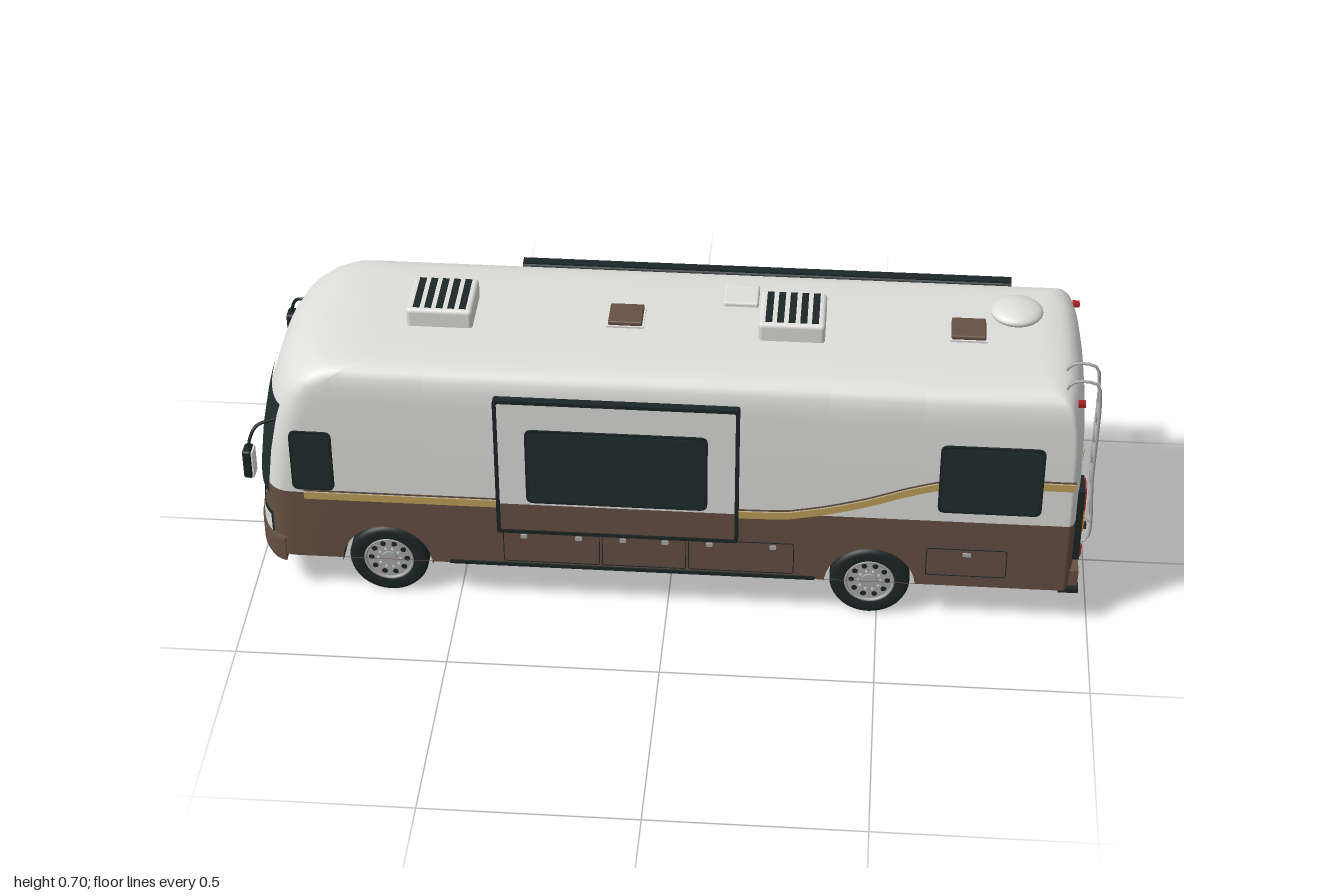
import * as THREE from 'three';
import { RoundedBoxGeometry } from 'three/addons/geometries/RoundedBoxGeometry.js';

const mat = (name, color, side = THREE.FrontSide) => {
  const m = new THREE.MeshStandardMaterial({ color, side });
  m.name = name;
  return m;
};

export function createModel() {
  const root = new THREE.Group();
  const white = mat('white paint', 0xdededb), brown = mat('brown paint', 0x665043, THREE.DoubleSide);
  const gold = mat('gold stripe', 0xbf9f58), glass = mat('dark glass', 0x1f2d2d);
  const black = mat('black trim', 0x1c2626, THREE.DoubleSide), chrome = mat('chrome', 0xa9a9a9);
  const red = mat('red lamp', 0xa81e20), orange = mat('orange lamp', 0xd47f1c);

  const add = (name, geo, m, x = 0, y = 0, z = 0, parent = root) => {
    const mesh = new THREE.Mesh(geo, m);
    mesh.name = name;
    mesh.position.set(x, y, z);
    parent.add(mesh);
    return mesh;
  };
  // box given by its limits
  const box = (name, m, x0, x1, y0, y1, z0, z1) => add(name,
    new THREE.BoxGeometry(x1 - x0, y1 - y0, z1 - z0), m, (x0 + x1) / 2, (y0 + y1) / 2, (z0 + z1) / 2);
  // upright plate on either side of the body
  const plate = (name, shape, m, side, z0 = 0.253, depth = 0.008) => add(name,
    new THREE.ExtrudeGeometry(shape, { depth, bevelEnabled: false, curveSegments: 5 }), m, 0, 0, side > 0 ? z0 : -z0 - depth);
  const roundRect = (x0, x1, y0, y1, r, s = new THREE.Shape()) => {
    s.moveTo(x0 + r, y0);
    s.lineTo(x1 - r, y0).quadraticCurveTo(x1, y0, x1, y0 + r);
    s.lineTo(x1, y1 - r).quadraticCurveTo(x1, y1, x1 - r, y1);
    s.lineTo(x0 + r, y1).quadraticCurveTo(x0, y1, x0, y1 - r);
    s.lineTo(x0, y0 + r).quadraticCurveTo(x0, y0, x0 + r, y0);
    return s;
  };
  const frame = (x0, x1, y0, y1, r, w) => {
    const s = roundRect(x0, x1, y0, y1, r);
    s.holes.push(roundRect(x0 + w, x1 - w, y0 + w, y1 - w, r * 0.7, new THREE.Path()));
    return s;
  };
  const surface = (pos, idx) => {
    const g = new THREE.BufferGeometry();
    g.setAttribute('position', new THREE.Float32BufferAttribute(pos, 3));
    g.setIndex(idx);
    g.computeVertexNormals();
    return g;
  };

  // Body plan: rounded nose, straight sides, tighter rounded tail
  const axles = [-0.67, 0.48], archR = 0.108, axleY = 0.095, floorY = 0.105, beltY = 0.295;
  const noseD = 0.1, tailD = 0.03, power = 2 / 2.6;
  const arc = (t, end, d, hw, dir) => [
    end + dir * d * (1 - Math.abs(Math.cos(t)) ** power), hw * Math.sign(Math.sin(t)) * Math.abs(Math.sin(t)) ** power];
  const sideXs = [];
  axles.forEach((c) => {
    for (let i = 0; i <= 20; i++) sideXs.push(c - archR * Math.cos(i * Math.PI / 20));
  });
  const outline = (xf, xb, hw) => {
    const p = [], n = 24;
    for (let i = 0; i <= n; i++) p.push(arc((i / n - 0.5) * Math.PI, xf, noseD, hw, 1));
    const xs = sideXs.map((x) => Math.max(xf + noseD, Math.min(xb - tailD, x)));
    xs.forEach((x) => p.push([x, hw]));
    for (let i = 0; i <= n; i++) p.push(arc((0.5 - i / n) * Math.PI, xb, tailD, hw, -1));
    xs.reverse().forEach((x) => p.push([x, -hw]));
    return p;
  };
  // rings run upwards; the last one is capped
  const loft = (rings, capY) => {
    const n = rings[0].length, pos = rings.flat(2), idx = [];
    for (let i = 0; i < rings.length - 1; i++) for (let j = 0; j < n; j++) {
      const a = i * n + j, b = i * n + (j + 1) % n;
      idx.push(a, b, b + n, a, b + n, a + n);
    }
    if (capY !== undefined) {
      const last = (rings.length - 1) * n;
      pos.push(0, capY, 0);
      for (let j = 0; j < n; j++) idx.push(rings.length * n, last + j, last + (j + 1) % n);
    }
    return surface(pos, idx);
  };
  const ring = (y, xf, xb, hw) => outline(xf, xb, hw).map(([x, z]) => [x, y, z]);

  // Upper shell, each row: height, nose x, tail x, half width
  const profile = [[0.295, -0.985, 0.965, 0.257], [0.4, -0.972, 0.965, 0.257], [0.5, -0.952, 0.963, 0.255],
    [0.56, -0.932, 0.958, 0.253], [0.595, -0.91, 0.951, 0.25], [0.618, -0.882, 0.943, 0.245],
    [0.633, -0.855, 0.932, 0.236], [0.643, -0.825, 0.917, 0.222], [0.648, -0.79, 0.9, 0.195],
    [0.652, -0.75, 0.88, 0.15], [0.655, -0.7, 0.84, 0.08]];
  add('upperBody', loft(profile.map((r) => ring(...r)), 0.656), white);

  // Lower shell with wheel arches cut in its bottom edge
  const base = outline(-0.985, 0.965, 0.257);
  const lowEdge = (x) => Math.max(floorY, ...axles.map((c) => axleY + Math.sqrt(Math.max(0, archR ** 2 - (x - c) ** 2))));
  add('lowerBody', loft([base.map(([x, z]) => [x, lowEdge(x), z]), base.map(([x, z]) => [x, beltY, z])]), brown);
  const floor = new THREE.Shape(base.map(([x, z]) => new THREE.Vector2(x, z)));
  axles.forEach((c) => [-1, 1].forEach((s) => floor.holes.push(
    roundRect(c - archR, c + archR, s > 0 ? 0.13 : -0.255, s > 0 ? 0.255 : -0.13, 0.001, new THREE.Path()))));
  add('floor', new THREE.ShapeGeometry(floor).rotateX(Math.PI / 2), brown, 0, floorY, 0);
  [-0.2, -0.07, 0.07, 0.2].forEach((z) => {
    for (let x = -0.5; x < 0.32; x += 0.12) box('floorRib', black, x, x + 0.07, 0.099, 0.106, z - 0.005, z + 0.005);
  });

  // Curved patches lying on the nose or tail
  const at = (y) => {
    if (y <= beltY) return profile[0];
    const i = profile.findIndex((r) => r[0] >= y), a = profile[i - 1], b = profile[i];
    return a.map((v, k) => v + (b[k] - v) * (y - a[0]) / (b[0] - a[0]));
  };
  const patch = (name, m, y0, y1, t0, t1, tail = false, off = 0.005) => {
    const pos = [], idx = [], nu = 24, nv = 12;
    for (let i = 0; i <= nv; i++) for (let j = 0; j <= nu; j++) {
      const y = y0 + (y1 - y0) * i / nv, t = t0 + (t1 - t0) * j / nu, [, xf, xb, hw] = at(y);
      const [x, z] = tail ? arc(-t, xb + off, tailD, hw + off, -1) : arc(t, xf - off, noseD, hw + off, 1);
      pos.push(x, y, z);
      const a = i * (nu + 1) + j;
      if (i < nv && j < nu) idx.push(a, a + 1, a + nu + 2, a, a + nu + 2, a + nu + 1);
    }
    add(name, surface(pos, idx), m);
  };
  patch('windshield', glass, 0.275, 0.53, -1.08, 1.08);
  patch('grille', black, 0.185, 0.24, -0.4, 0.4);
  [-1, 1].forEach((s) => {
    const [a, b] = s > 0 ? [0.46, 1.1] : [-1.1, -0.46];
    patch('headlightFrame', black, 0.16, 0.22, a - 0.02, b + 0.02, false, 0.004);
    patch('headlight', white, 0.166, 0.214, a, b, false, 0.007);
  });
  patch('rearStripe', gold, 0.455, 0.48, -0.88, 0.88, true, 0.003);

  // Front bumper and valance
  const bumper = [[0.088, -0.993], [0.098, -0.998], [0.148, -0.998], [0.157, -0.99]];
  add('frontBumper', loft(bumper.map(([y, xf]) => ring(y, xf, -0.87, 0.26).map(([x, yy, z]) => [Math.min(x, -0.915), yy, z])), 0.157), brown);
  box('frontPlate', white, -1, -0.99, 0.107, 0.132, -0.045, 0.045);
  box('frontValance', black, -0.94, -0.92, 0.078, 0.1, -0.22, 0.22);

  // Wheels, dual at the rear, with wells
  const tyre = new THREE.LatheGeometry([[0.056, -0.02], [0.062, -0.025], [0.083, -0.025], [0.092, -0.021], [0.095, -0.014],
    [0.095, -0.008], [0.092, -0.006], [0.095, -0.004], [0.095, 0.004], [0.092, 0.006], [0.095, 0.008],
    [0.095, 0.014], [0.092, 0.021], [0.083, 0.025], [0.062, 0.025], [0.056, 0.02]].map((p) => new THREE.Vector2(...p)), 40).rotateX(Math.PI / 2);
  const disc = (r, d, n = 32) => new THREE.CylinderGeometry(r, r, d, n).rotateX(Math.PI / 2);
  axles.forEach((c, rear) => {
    [-1, 1].forEach((s) => {
      const w = new THREE.Group();
      w.name = rear ? 'rearWheel' : 'frontWheel';
      w.position.set(c, axleY, s * 0.22);
      if (s < 0) w.rotation.y = Math.PI;
      root.add(w);
      add('tyre', tyre, black, 0, 0, 0, w);
      add('rim', disc(0.058, 0.034), chrome, 0, 0, 0, w);
      add('rimLip', new THREE.TorusGeometry(0.057, 0.004, 8, 32), chrome, 0, 0, 0.021, w);
      add('hub', disc(0.019, 0.046, 16), chrome, 0, 0, 0, w);
      for (let i = 0; i < 10; i++) {
        const a = i * Math.PI / 5;
        add('rimHole', disc(0.007, 0.036, 10), black, 0.043 * Math.cos(a), 0.043 * Math.sin(a), 0, w);
        add('wheelNut', disc(0.003, 0.04, 6), white, 0.027 * Math.cos(a), 0.027 * Math.sin(a), 0, w);
      }
      if (rear) {
        add('innerTyre', tyre, black, 0, 0, -0.055, w);
        add('innerRim', disc(0.058, 0.03), black, 0, 0, -0.055, w);
      }
      add('wheelWell', new THREE.CylinderGeometry(archR, archR, 0.126, 24, 1, true, Math.PI / 2, Math.PI).rotateX(Math.PI / 2), black, c, axleY, s * 0.193);
      add('wellWall', new THREE.CircleGeometry(archR, 24, 0, Math.PI), black, c, axleY, s * 0.13);
    });
    add('axle', disc(0.014, 0.4, 12), black, c, axleY, 0);
  });

  // Windows
  const win = (x0, x1, y0, y1, s, z0 = 0.253) => {
    plate('windowFrame', roundRect(x0, x1, y0, y1, 0.018), black, s, z0, 0.007);
    plate('windowPane', roundRect(x0 + 0.007, x1 - 0.007, y0 + 0.007, y1 - 0.007, 0.014), glass, s, z0, 0.009);
  };
  [-1, 1].forEach((s) => {
    win(-0.885, -0.785, 0.305, 0.472, s);
    win(0.63, 0.87, 0.322, 0.512, s);
  });
  win(0.02, 0.237, 0.335, 0.488, -1);
  win(-0.35, -0.1, 0.3, 0.503, -1);
  win(-0.52, -0.405, 0.355, 0.485, -1);

  // Side stripes, trim, hatches
  const curve = new THREE.SplineCurve([[-0.86, 0.287], [-0.3, 0.287], [0.2, 0.288], [0.32, 0.298], [0.45, 0.332], [0.57, 0.376],
    [0.67, 0.402], [0.78, 0.407], [0.945, 0.407]].map((p) => new THREE.Vector2(...p))).getPoints(80);
  const band = (lo, hi) => new THREE.Shape([...curve.map((p) => new THREE.Vector2(p.x, p.y + lo)),
    ...curve.map((p) => new THREE.Vector2(p.x, p.y + hi)).reverse()]);
  [-1, 1].forEach((s) => {
    plate('sideStripe', band(-0.01, 0.009), gold, s, 0.253, 0.006);
    plate('stripeLine', band(0.012, 0.016), brown, s, 0.253, 0.0055);
    plate('sillTrim', roundRect(-0.52, 0.35, 0.105, 0.114, 0.002), black, s);
    const hatches = [[-0.39, -0.16], [-0.155, 0.045], [0.05, 0.3]];
    hatches.forEach(([x0, x1]) => {
      plate('hatchOutline', frame(x0, x1, 0.118, 0.208, 0.008, 0.002), black, s, 0.253, 0.005);
      [x0 + 0.05, x1 - 0.05].forEach((x) => plate('hatchLatch', roundRect(x - 0.008, x + 0.008, 0.19, 0.2, 0.003), chrome, s));
    });
    plate('rearHatchOutline', frame(0.61, 0.8, 0.135, 0.215, 0.008, 0.002), black, s, 0.253, 0.005);
    plate('rearHatchLatch', roundRect(0.695, 0.715, 0.195, 0.204, 0.003), chrome, s);
  });

  // Entry door and step
  plate('doorOutline', frame(-0.535, -0.39, 0.125, 0.51, 0.015, 0.003), black, -1, 0.253, 0.006);
  plate('doorHandle', roundRect(-0.415, -0.397, 0.31, 0.325, 0.004), chrome, -1, 0.253, 0.012);
  box('entryStep', chrome, -0.54, -0.42, 0.088, 0.098, -0.262, -0.17);

  // Slide-out room
  box('slideOutUpper', white, -0.398, 0.163, beltY, 0.588, 0.2, 0.266);
  box('slideOutLower', brown, -0.398, 0.163, 0.215, beltY, 0.2, 0.266);
  plate('slideOutSeal', frame(-0.402, 0.168, 0.211, 0.592, 0.008, 0.009), black, 1, 0.25, 0.019);
  win(-0.33, 0.095, 0.303, 0.512, 1, 0.263);

  // Awning
  add('awningTube', new THREE.CylinderGeometry(0.013, 0.013, 1.18, 16).rotateZ(Math.PI / 2), black, 0.2, 0.615, -0.27);
  box('awningCase', black, -0.39, 0.79, 0.602, 0.629, -0.285, -0.262);
  for (let i = 0; i < 5; i++) box('awningBracket', black, -0.35 + i * 0.27, -0.335 + i * 0.27, 0.585, 0.61, -0.264, -0.24);

  // Roof equipment
  [-0.547, 0.275].forEach((x) => {
    add('airConditioner', new RoundedBoxGeometry(0.155, 0.055, 0.146, 3, 0.01), white, x, 0.673, -0.002);
    for (let i = -2; i <= 2; i++) box('coolerSlot', black, x + i * 0.027 - 0.008, x + i * 0.027 + 0.008, 0.697, 0.702, -0.066, 0.06);
  });
  [-0.115, 0.685].forEach((x) => {
    box('ventBase', white, x - 0.044, x + 0.044, 0.645, 0.66, -0.044, 0.044);
    add('ventLid', new RoundedBoxGeometry(0.08, 0.012, 0.08, 2, 0.004), brown, x, 0.664, 0);
  });
  add('roofHatch', new RoundedBoxGeometry(0.083, 0.02, 0.083, 2, 0.006), white, 0.15, 0.656, -0.108);
  add('satelliteDome', new THREE.SphereGeometry(0.062, 32, 16).scale(1, 0.34, 1), white, 0.797, 0.665, -0.083);
  box('domeFoot', white, 0.757, 0.837, 0.64, 0.657, -0.125, -0.045);

  // Tail lamps, plate, bumper, hitch
  [-1, 1].forEach((s) => {
    const rear = (name, m, x1, y0, y1, za, zb) => box(name, m, 0.935, x1, y0, y1, Math.min(s * za, s * zb), Math.max(s * za, s * zb));
    rear('tailLampHousing', black, 0.969, 0.178, 0.377, 0.163, 0.228);
    [[red, 0.317, 0.373], [orange, 0.258, 0.313], [white, 0.222, 0.254], [red, 0.183, 0.218]].forEach(([m, a, b]) =>
      rear('tailLamp', m, 0.973, a, b, 0.168, 0.223));
    rear('markerLamp', red, 0.952, 0.606, 0.615, 0.198, 0.216);
  });
  box('rearPlate', white, 0.955, 0.97, 0.186, 0.211, -0.055, 0.055);
  box('rearBumper', brown, 0.93, 0.97, 0.11, 0.155, -0.243, 0.243);
  box('rearTrim', black, 0.925, 0.972, 0.098, 0.111, -0.255, 0.255);
  box('hitch', black, 0.95, 1, 0.1, 0.113, -0.007, 0.007);

  // Rear ladder
  const tube = (name, pts, r, m) => add(name, new THREE.TubeGeometry(
    new THREE.CatmullRomCurve3(pts.map((p) => new THREE.Vector3(...p)), false, 'centripetal'), 32, r, 8), m);
  [0.123, 0.195].forEach((z) => {
    tube('ladderRail', [[0.963, 0.207, z], [0.985, 0.215, z], [0.985, 0.4, z], [0.985, 0.62, z], [0.978, 0.655, z],
      [0.955, 0.664, z], [0.92, 0.66, z], [0.905, 0.635, z]], 0.0035, chrome);
  });
  [0.267, 0.325, 0.383, 0.442, 0.5, 0.56, 0.612].forEach((y) => box('ladderRung', chrome, 0.982, 0.988, y - 0.003, y + 0.003, 0.123, 0.195));

  // Door mirrors
  [-1, 1].forEach((s) => {
    tube('mirrorArm', [[-0.915, 0.5, s * 0.25], [-0.955, 0.49, s * 0.268], [-0.972, 0.455, s * 0.283], [-0.972, 0.42, s * 0.287]], 0.004, black);
    add('mirrorShell', new RoundedBoxGeometry(0.022, 0.076, 0.04, 2, 0.006), black, -0.976, 0.403, s * 0.287);
    add('mirrorFace', new THREE.BoxGeometry(0.006, 0.07, 0.035), white, -0.965, 0.403, s * 0.287);
  });
  return root;
}
